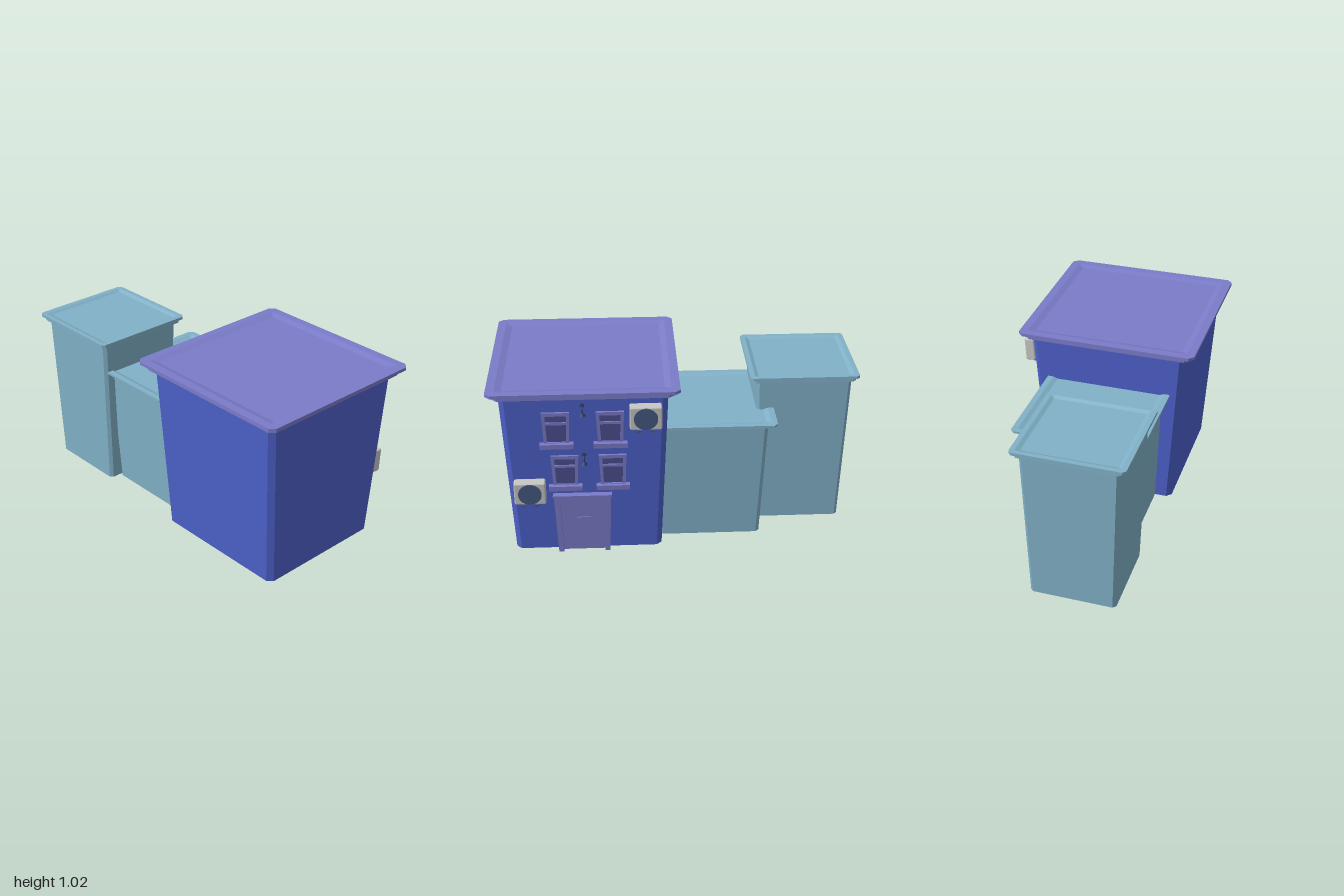
import * as THREE from 'three';
import { RoundedBoxGeometry } from 'three/addons/geometries/RoundedBoxGeometry.js';

const paint = (name, color) => Object.assign(new THREE.MeshStandardMaterial({ color }), { name });

export function createModel() {
  const mats = {
    blue: paint('blue wall', 0x4d61cb),
    purple: paint('purple trim', 0x7b7bc9),
    teal: paint('teal house', 0x81b1c8),
    glass: paint('window glass', 0x4b5091),
    metal: paint('light metal', 0xc6c6c3),
    dark: paint('dark metal', 0x475a80),
    lamp: paint('lamp iron', 0x363f66),
  };
  const model = new THREE.Group();
  model.name = 'houses';

  const add = (parent, name, geometry, mat, x = 0, y = 0, z = 0) => {
    const mesh = new THREE.Mesh(geometry, mat);
    mesh.name = name;
    mesh.position.set(x, y, z);
    parent.add(mesh);
    return mesh;
  };

  // Closed solid through chamfered rectangles: rings of [y, halfX, halfZ, chamfer]
  function loft(rings) {
    const loops = rings.map(([y, a, b, c]) => [
      [a, b - c], [a, c - b], [a - c, -b], [c - a, -b],
      [-a, c - b], [-a, b - c], [c - a, b], [a - c, b],
    ].map(([x, z]) => [x, y, z]));
    const pos = [];
    const tri = (...pts) => pts.forEach((p) => pos.push(...p));
    for (let i = 0; i < loops.length - 1; i++) {
      for (let j = 0; j < 8; j++) {
        const k = (j + 1) % 8, lo = loops[i], hi = loops[i + 1];
        tri(lo[j], lo[k], hi[k]);
        tri(lo[j], hi[k], hi[j]);
      }
    }
    const bottom = loops[0], top = loops[loops.length - 1];
    for (let j = 1; j < 7; j++) {
      tri(top[0], top[j], top[j + 1]);
      tri(bottom[0], bottom[j + 1], bottom[j]);
    }
    const g = new THREE.BufferGeometry();
    g.setAttribute('position', new THREE.Float32BufferAttribute(pos, 3));
    g.computeVertexNormals();
    return g;
  }

  // House: walls widening upward, two-step cornice and a shallow sunken roof
  function house(name, o) {
    const g = new THREE.Group();
    g.name = name;
    g.position.set(o.x, 0, o.z);
    const c = o.chamfer, r = o.roof, [y0, y1, y2] = o.levels;
    add(g, 'walls', loft([[0.01, ...o.base, c], [y0 + 0.005, ...o.top, c]]), o.wallMat);
    add(g, 'roof', loft([
      [y0, r * 0.942, r * 0.942, c], [y1, r * 0.942, r * 0.942, c],
      [y1, r, r, c], [y2, r, r, c],
      [y2, r * 0.91, r * 0.91, 0.006], [y2 - 0.01, r * 0.84, r * 0.84, 0.006],
    ]), o.roofMat);
    model.add(g);
  }
  house('frontHouse', { x: 0, z: 0.5, base: [0.384, 0.404], top: [0.443, 0.443], roof: 0.503,
    levels: [0.97, 0.999, 1.016], chamfer: 0.028, wallMat: mats.blue, roofMat: mats.purple });
  house('middleHouse', { x: -0.005, z: -0.178, base: [0.284, 0.284], top: [0.313, 0.313], roof: 0.359,
    levels: [0.7, 0.717, 0.728], chamfer: 0.02, wallMat: mats.teal, roofMat: mats.teal });
  house('backHouse', { x: -0.12, z: -0.7, base: [0.237, 0.237], top: [0.263, 0.263], roof: 0.3,
    levels: [0.888, 0.91, 0.926], chamfer: 0.017, wallMat: mats.teal, roofMat: mats.teal });

  // Facade group: x runs along the leaning wall, y up it, z out of it
  const facade = new THREE.Group();
  facade.name = 'facade';
  facade.position.set(0.384, 0.01, 0.5);
  facade.rotation.set(0.061, Math.PI / 2, 0, 'YXZ');
  model.add(facade);

  // Trapezoid corners, wider at the top
  const trapezoid = (wb, wt, y0, y1) =>
    [[-wb, y0], [wb, y0], [wt, y1], [-wt, y1]].map(([x, y]) => new THREE.Vector2(x, y));
  const extrude = (pts, depth, hole) => {
    const shape = new THREE.Shape(pts);
    if (hole) shape.holes.push(new THREE.Path(hole));
    return new THREE.ExtrudeGeometry(shape, { depth, bevelEnabled: false });
  };

  // Door with frame, lintel and letter flap
  const door = new THREE.Group();
  door.name = 'door';
  door.position.set(-0.026, -0.008, 0);
  facade.add(door);
  const [a, b] = [trapezoid(0.142, 0.155, 0, 0.365), trapezoid(0.113, 0.123, 0, 0.325)];
  add(door, 'doorFrame', extrude([a[0], b[0], b[3], b[2], b[1], a[1], a[2], a[3]], 0.034), mats.purple, 0, 0, -0.004);
  add(door, 'doorPanel', extrude(b, 0.012), mats.purple, 0, 0, -0.004);
  add(door, 'lintel', new THREE.BoxGeometry(0.32, 0.012, 0.038), mats.purple, 0, 0.367, 0.014);
  add(door, 'letterFlap', new THREE.BoxGeometry(0.08, 0.035, 0.006), mats.purple, 0, 0.2, 0.01);

  // Sash windows with sills: [x, sill height]
  for (const [x, y] of [[-0.15, 0.683], [0.135, 0.683], [-0.113, 0.417], [0.143, 0.417]]) {
    const w = new THREE.Group();
    w.name = 'window';
    w.position.set(x, y, 0);
    facade.add(w);
    add(w, 'windowFrame', extrude(trapezoid(0.066, 0.074, 0, 0.192), 0.016, trapezoid(0.05, 0.056, 0.012, 0.172)), mats.purple, 0, 0, -0.004);
    add(w, 'glass', extrude(trapezoid(0.052, 0.058, 0.01, 0.175), 0.005), mats.glass, 0, 0, -0.002);
    add(w, 'sashBar', new THREE.BoxGeometry(0.108, 0.014, 0.012), mats.purple, 0, 0.125, 0.004);
    add(w, 'sill', new THREE.BoxGeometry(0.18, 0.028, 0.034), mats.purple, 0, -0.005, 0.013);
  }

  // Gooseneck wall lamps
  for (const y of [0.912, 0.61]) {
    const lamp = new THREE.Group();
    lamp.name = 'wallLamp';
    lamp.position.set(-0.008, y, 0);
    facade.add(lamp);
    const plate = add(lamp, 'lampPlate', new THREE.CylinderGeometry(0.012, 0.012, 0.006, 10), mats.lamp, 0, 0, 0.002);
    plate.rotation.x = Math.PI / 2;
    const path = new THREE.CatmullRomCurve3([[0, 0], [0, 0.016], [-0.006, 0.028], [-0.026, 0.033]]
      .map(([py, pz]) => new THREE.Vector3(0, py, pz)));
    add(lamp, 'lampArm', new THREE.TubeGeometry(path, 10, 0.004, 6), mats.lamp);
    add(lamp, 'lampShade', new THREE.CylinderGeometry(0.006, 0.018, 0.016, 10), mats.lamp, 0, -0.034, 0.033);
    add(lamp, 'bulb', new THREE.SphereGeometry(0.007, 8, 6), mats.lamp, 0, -0.044, 0.033);
  }

  // Air conditioners on brackets
  for (const [x, y] of [[0.322, 0.857], [-0.305, 0.403]]) {
    const unit = new THREE.Group();
    unit.name = 'airConditioner';
    unit.position.set(x, y, 0);
    facade.add(unit);
    add(unit, 'casing', new RoundedBoxGeometry(0.17, 0.135, 0.058, 1, 0.009), mats.metal, 0, 0, 0.034);
    const fan = add(unit, 'fanGrille', new THREE.CylinderGeometry(0.063, 0.063, 0.006, 24), mats.dark, 0, 0, 0.064);
    fan.rotation.x = Math.PI / 2;
    for (const s of [-1, 1]) {
      add(unit, 'bracket', new THREE.BoxGeometry(0.02, 0.012, 0.066), mats.dark, s * 0.035, -0.074, 0.032);
      add(unit, 'bracketFoot', new THREE.BoxGeometry(0.016, 0.016, 0.03), mats.dark, s * 0.035, -0.084, 0.014);
    }
  }
  return model;
}
